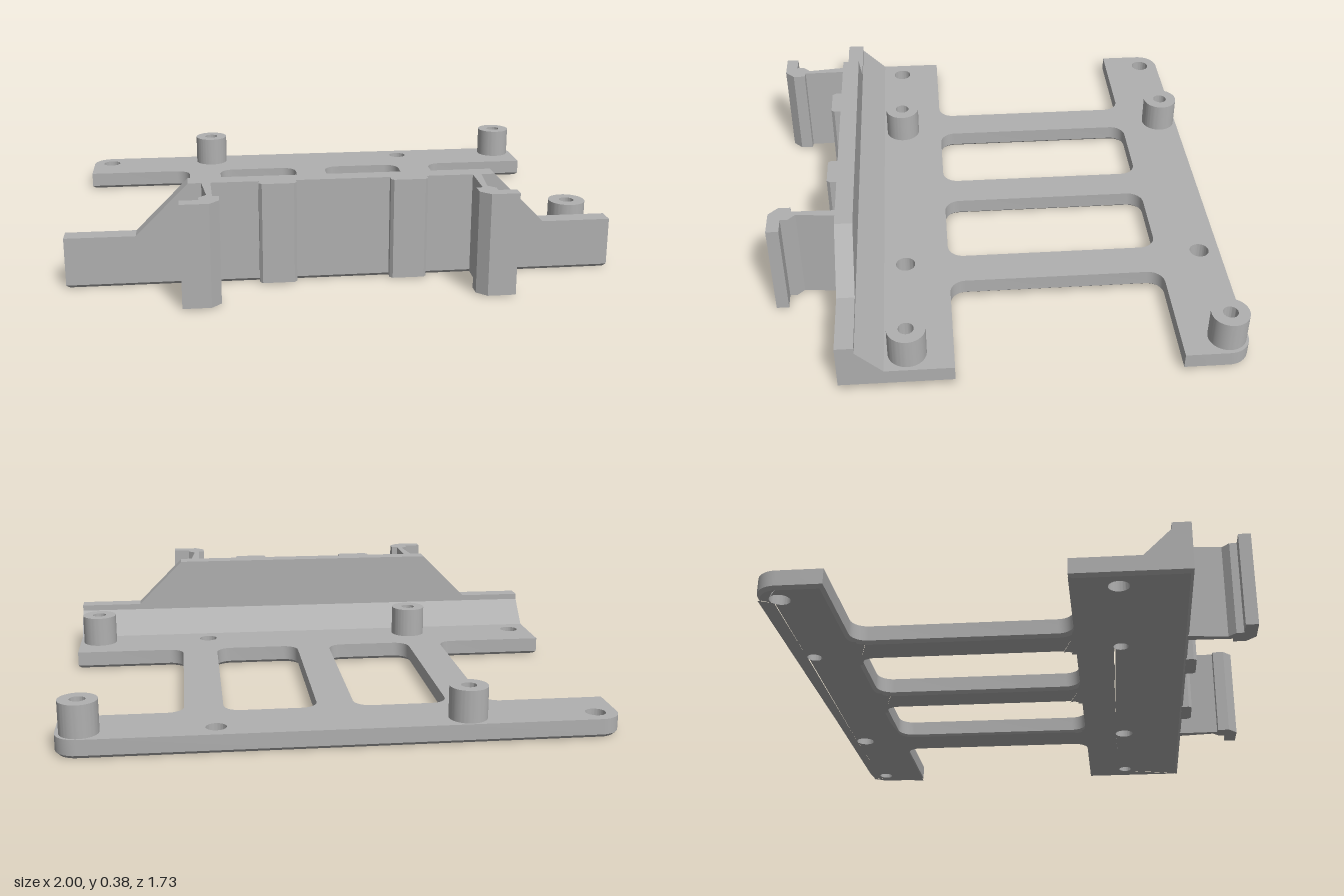
import * as THREE from 'three';
import { toCreasedNormals } from 'three/addons/utils/BufferGeometryUtils.js';

const V = (x, y) => new THREE.Vector2(x, y);
const poly = (pts) => new THREE.Shape(pts.map(([x, y]) => V(x, y)));

// Right-angled outline of [x, z, radius] corners, drawn with material on its left;
// inset pulls every edge into the material.
function outline(corners, inset) {
  const n = corners.length, out = [];
  corners.forEach(([x, z, r = 0], i) => {
    const [px, pz] = corners[(i + n - 1) % n], [qx, qz] = corners[(i + 1) % n];
    const d1 = V(x - px, z - pz).normalize(), d2 = V(qx - x, qz - z).normalize();
    const p = V(x + inset * (-d1.y - d2.y), z + inset * (d1.x + d2.x));
    if (!r) { out.push(p); return; }
    const rad = r + (d1.cross(d2) > 0 ? -inset : inset);
    const c = p.clone().addScaledVector(d1, -rad).addScaledVector(d2, rad);
    for (let k = 0; k <= 8; k++) {
      const t = (k / 8) * Math.PI / 2;
      out.push(c.clone().addScaledVector(d2, -rad * Math.cos(t)).addScaledVector(d1, rad * Math.sin(t)));
    }
  });
  return out;
}

const circle = (x, z, r) => new THREE.Path().absarc(x, z, r, 0, Math.PI * 2, true);

// Upright slab from an x/z shape
function slab(shape, y0, y1, steps = 1) {
  const g = new THREE.ExtrudeGeometry(shape, { depth: y1 - y0, steps, bevelEnabled: false, curveSegments: 32 });
  return g.rotateX(Math.PI / 2).translate(0, y1, 0);
}

const HOLE_Z = [-0.787, 0.367];
const BOSS_X = [-0.45, 0.915], PLAIN_X = [-0.92, 0.445];
const TOP = 0.07, BEVEL = 0.012, R = 0.06;

// Two cross strips joined by three bars, with the lower edge chamfered
function plateGeometry() {
  const edge = [
    [-0.998, 0.615], [-0.998, 0.2], [-0.555, 0.2, R], [-0.555, -0.62, R], [-0.998, -0.62], [-0.998, -0.865, 0.08],
    [0.998, -0.865, 0.08], [0.998, -0.62], [0.555, -0.62, R], [0.555, 0.2, R], [0.998, 0.2], [0.998, 0.615],
  ].map(([x, z, r]) => [Math.abs(x) > 0.99 ? Math.sign(x) : x, z, r]);
  const slots = [[-0.415, -0.068], [0.068, 0.412]];
  const build = (inset) => {
    const s = new THREE.Shape(outline(edge, inset));
    for (const [a, b] of slots) {
      const loop = [[a, -0.62, R], [b, -0.62, R], [b, 0.2, R], [a, 0.2, R]];
      // the slot runs opposite to the edge, so material stays on its left
      s.holes.push(new THREE.Path(outline(loop, -inset)));
    }
    for (const z of HOLE_Z) {
      for (const x of PLAIN_X) s.holes.push(circle(x, z, 0.037));
      for (const x of BOSS_X) s.holes.push(circle(x, z, 0.028));
    }
    return s;
  };
  // outline() winding: flip the inset where the loop is clockwise
  const sign = THREE.ShapeUtils.area(outline(edge, 0)) > 0 ? 1 : -1;
  const g = slab(build(0), 0, TOP, 2), low = slab(build(sign * BEVEL), 0, TOP, 2);
  const p = g.attributes.position, q = low.attributes.position;
  for (let i = 0; i < p.count; i++) {
    const y = p.getY(i);
    if (y < 0.001) {
      if (q.count === p.count && q.getY(i) < 0.001 &&
        Math.hypot(q.getX(i) - p.getX(i), q.getZ(i) - p.getZ(i)) < 0.03) {
        p.setXYZ(i, q.getX(i), 0, q.getZ(i));
      }
    } else if (y < TOP - 0.001) p.setY(i, BEVEL);
  }
  return g;
}

export function createModel() {
  const model = new THREE.Group();
  const grey = new THREE.MeshStandardMaterial({ color: 0xb0b0b0 });
  grey.name = 'grey plastic';
  const add = (name, geometry) => {
    const mesh = new THREE.Mesh(toCreasedNormals(geometry, 0.5), grey);
    mesh.name = name;
    model.add(mesh);
  };

  add('basePlate', plateGeometry());

  // Hollow mounting posts
  for (const z of HOLE_Z) for (const x of BOSS_X) {
    const ring = new THREE.Shape().absarc(x, z, 0.07, 0, Math.PI * 2, false);
    ring.holes.push(circle(x, z, 0.028));
    add('mountingPost', slab(ring, TOP - 0.005, 0.19));
  }

  // Front wall with sloping shoulders
  const wall = poly([[-1, 0.03], [1, 0.03], [1, 0.19], [0.745, 0.19], [0.555, 0.38],
    [-0.555, 0.38], [-0.745, 0.19], [-1, 0.19]]);
  add('frontWall', new THREE.ExtrudeGeometry(wall, { depth: 0.067, bevelEnabled: false }).translate(0, 0, 0.548));

  // Sloped fillet behind the wall
  const fillet = poly([[-0.45, 0.06], [-0.45, TOP], [-0.55, 0.168], [-0.55, 0.06]]);
  add('wallFillet', new THREE.ExtrudeGeometry(fillet, { depth: 2, bevelEnabled: false })
    .rotateY(Math.PI / 2).translate(-1, 0, 0));

  // Spring clips and spacer pads, mirrored
  const clip = [[0.508, 0.61], [0.492, 0.758], [0.519, 0.785], [0.519, 0.813], [0.585, 0.813], [0.585, 0.86],
    [0.484, 0.86], [0.449, 0.825], [0.449, 0.778], [0.472, 0.775], [0.475, 0.61]];
  const pad = [[0.17, 0.61], [0.305, 0.61], [0.305, 0.64], [0.295, 0.652], [0.18, 0.652], [0.17, 0.64]];
  for (const s of [-1, 1]) {
    const side = s > 0 ? 'left' : 'right';
    add(side + 'Clip', slab(poly(clip.map(([x, z]) => [s * x, z])), 0.005, 0.38));
    add(side + 'SpacerPad', slab(poly(pad.map(([x, z]) => [s * x, z])), 0.005, 0.38));
  }
  return model;
}
